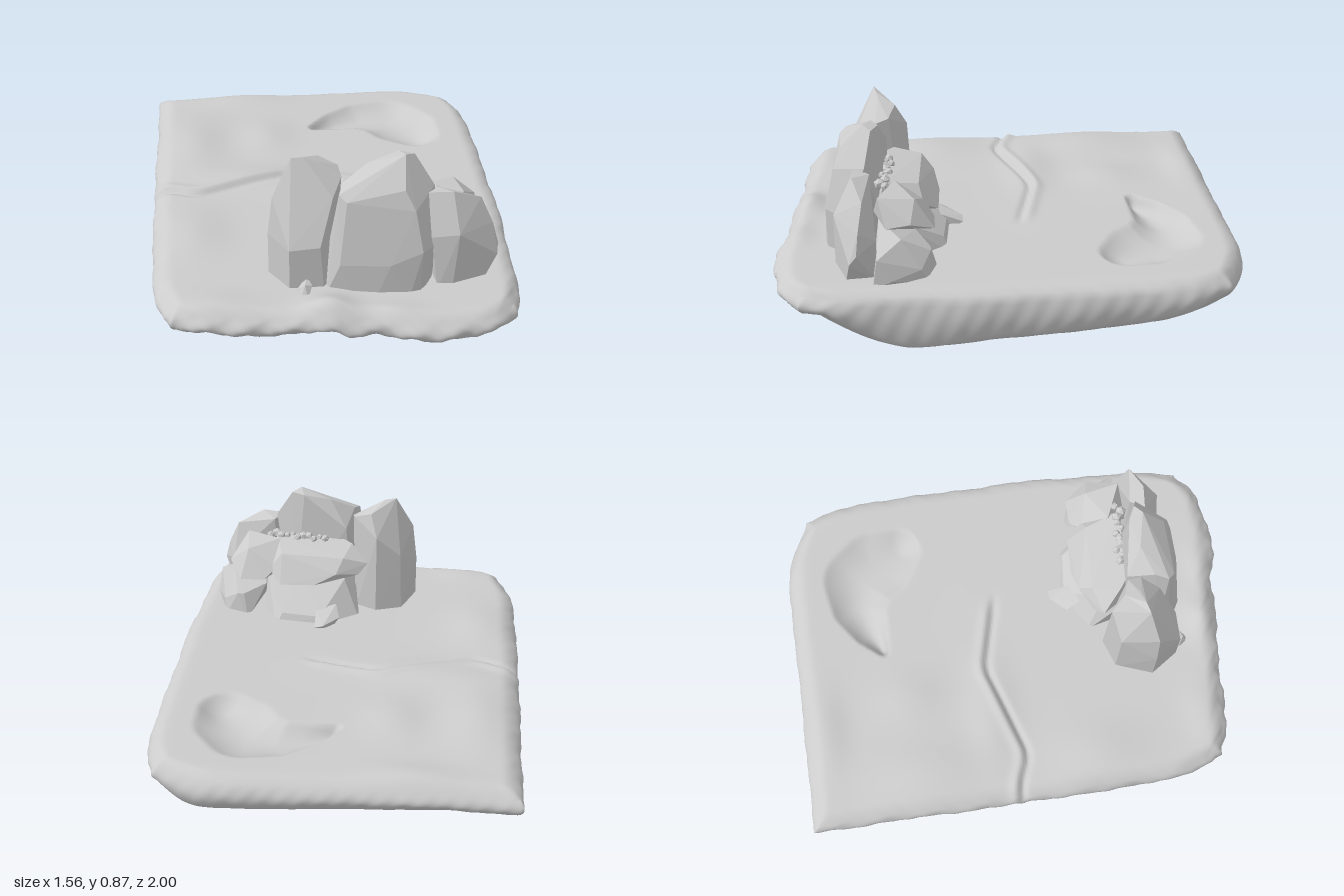
import * as THREE from 'three';
import { mergeVertices } from 'three/addons/utils/BufferGeometryUtils.js';
import { ConvexGeometry } from 'three/addons/geometries/ConvexGeometry.js';

const grey = new THREE.MeshStandardMaterial({ color: 0xcccccc });
const greyFlat = new THREE.MeshStandardMaterial({ color: 0xcccccc, flatShading: true });
const { lerp, smoothstep } = THREE.MathUtils;

// Piecewise linear lookup in a list of [key, value] pairs
function at(table, k) {
  if (k <= table[0][0]) return table[0][1];
  for (let i = 1; i < table.length; i++) {
    const [k0, v0] = table[i - 1], [k1, v1] = table[i];
    if (k <= k1) return v0 + (v1 - v0) * (k - k0) / (k1 - k0);
  }
  return table[table.length - 1][1];
}
// The same lookup averaged over a short span, to soften the bends
const soft = (table, k, w) => (at(table, k - w) + at(table, k - w / 2) + at(table, k) + at(table, k + w / 2) + at(table, k + w)) / 5;
const bell = (s, w) => Math.exp(-(s / w) * (s / w));
// Irregular ripple for the ragged rim
const ripple = (a, b) => 0.005 * Math.sin(a * 11 + b * 1.2) + 0.004 * Math.sin(a * 26.3 - b * 2 + 1) + 0.0025 * Math.sin(a * 59 + b * 3 + 2);

// Slab outline and underside profile
const frontEdge = [[-0.77, 0.85], [-0.68, 0.88], [-0.45, 0.91], [-0.1, 0.93], [0.03, 0.96], [0.13, 0.95], [0.22, 0.975], [0.38, 1], [0.6, 0.98], [0.7, 0.935], [0.77, 0.87]];
const backEdge = [[-0.77, -0.975], [0, -0.985], [0.4, -0.998], [0.55, -0.985], [0.68, -0.935], [0.77, -0.88]];
const leftEdge = [[-1, -0.78], [0, -0.775], [0.6, -0.765], [0.8, -0.75], [1, -0.68]];
const rightEdge = [[-1, 0.69], [-0.85, 0.745], [-0.7, 0.765], [0.2, 0.775], [0.65, 0.755], [0.85, 0.74], [1, 0.7]];
const underside = [[-1, 0.2], [-0.85, 0.135], [-0.6, 0.085], [-0.3, 0.055], [0.1, 0.035], [0.3, 0.012], [0.45, 0], [0.6, 0.05], [0.75, 0.13], [0.85, 0.2], [1, 0.27]];
const crackPath = [[-0.8, -0.06], [-0.7, -0.05], [-0.58, 0], [-0.4, -0.06], [-0.16, -0.14], [0, -0.1], [0.2, -0.05]];
// Mounds: x, z, height, width in x, width in z
const mounds = [
  [-0.35, -0.88, 0.02, 0.2, 0.08], [-0.35, -0.14, 0.022, 0.25, 0.1], [-0.6, -0.45, 0.03, 0.14, 0.25], [-0.25, -0.5, 0.02, 0.12, 0.15],
  [-0.05, 0.87, 0.045, 0.1, 0.08], [-0.6, 0.3, 0.025, 0.14, 0.2], [0.2, 0.9, 0.015, 0.12, 0.06], [-0.5, 0.8, 0.015, 0.15, 0.08]];
// Curved hollow: x, z, radius along its middle line
const hollow = [[0, -0.59, 0.03], [0.1, -0.64, 0.08], [0.22, -0.68, 0.12], [0.35, -0.66, 0.165], [0.41, -0.58, 0.17], [0.47, -0.48, 0.11]];

function hollowDepth(x, z) {
  let best = 2;
  for (let i = 1; i < hollow.length; i++) {
    for (let k = 0; k <= 1; k += 0.125) {
      const [a, b, r] = hollow[i].map((v, j) => hollow[i - 1][j] * (1 - k) + v * k);
      best = Math.min(best, Math.hypot(x - a, z - b) / r);
    }
  }
  return 0.055 * Math.max(0, 1 - best * best);
}

function topHeight(x, z) {
  let y = 0.33;
  for (const [mx, mz, h, wx, wz] of mounds) y += h * bell(x - mx, wx) * bell(z - mz, wz);
  const s = z - soft(crackPath, x, 0.04);
  const fade = 1 - smoothstep(x, 0.08, 0.21);
  y += fade * (0.012 * bell(s + 0.03, 0.025) - 0.017 * bell(s, 0.016));
  return y - hollowDepth(x, z);
}

function bottomHeight(x, z) {
  const tilt = 0.06 + 0.058 * smoothstep(z, -1, -0.2);
  const heel = 0.03 * (1 - smoothstep(x, 0.3, 0.52)) * smoothstep(z, 0.45, 0.65);
  return soft(underside, z, 0.05) + tilt * Math.max(0, 0.55 - x) + heel - 0.008
    + 0.006 * Math.sin(x * 14 + z * 5) * Math.sin(z * 11) * smoothstep(z, 0, 0.8);
}

function makeSlab() {
  let geo = new THREE.BoxGeometry(2, 2, 2, 100, 8, 160);
  geo.deleteAttribute('normal');
  geo.deleteAttribute('uv');
  geo = mergeVertices(geo);
  const p = geo.attributes.position;
  for (let i = 0; i < p.count; i++) {
    const u = p.getX(i), t = p.getY(i), v = p.getZ(i);
    const du = (1 - Math.abs(u)) * 0.77, dv = 1 - Math.abs(v), d = Math.min(du, dv);
    // ragged outline, drawn in at the upper and lower rim
    const shrink = 1 - 0.022 * t * t;
    const us = (u * shrink + 1) / 2, vs = (v * shrink + 1) / 2;
    const x0 = u * 0.77;
    const x = lerp(soft(leftEdge, v, 0.04), soft(rightEdge, v, 0.04), us) + 0.5 * ripple(v + u, t) * u ** 8;
    const z = lerp(soft(backEdge, x0, 0.04), soft(frontEdge, x0, 0.03), vs) + ripple(u - 2 * v, t) * (v > 0 ? 1 : 0.3) * v ** 8;
    // upper and lower surfaces, rounded towards the rim
    const rim = Math.max(0, 1 - d / 0.07) ** 2;
    const top = topHeight(x, z) - 0.03 * rim;
    const sideLift = Math.max(0, 1 - du / 0.2) ** 2 * (u > 0 ? 0.09 : 0.07);
    const low = Math.max(0, Math.min(bottomHeight(x, z) + sideLift, top - 0.09 + 0.02 * rim));
    p.setXYZ(i, x, lerp(low, top, (t + 1) / 2), z);
  }
  geo.computeVertexNormals();
  return new THREE.Mesh(geo, grey);
}

// Faceted stones, each the hull of a few corners; the two largest reach through the slab
const stones = {
  leftTallStone: [
    [-0.28, 0.3, 0.6], [-0.28, 0.52, 0.6], [-0.26, 0.69, 0.6], [-0.18, 0.845, 0.56], [-0.13, 0.84, 0.55], [-0.07, 0.81, 0.54],
    [-0.07, 0.8, 0.47], [0.01, 0.77, 0.5], [0.02, 0.75, 0.56], [-0.02, 0.7, 0.64], [-0.2, 0.51, 0.72], [-0.2, 0.3, 0.72],
    [-0.075, 0.52, 0.72], [-0.06, 0.3, 0.72], [-0.22, 0.3, 0.44], [-0.21, 0.6, 0.45], [-0.1, 0.3, 0.4], [-0.1, 0.7, 0.42], [0, 0.3, 0.45],
    [-0.22, 0.17, 0.68], [-0.03, 0.18, 0.68], [-0.1, 0.065, 0.58]],
  mainStone: [
    [-0.06, 0.37, 0.66], [-0.05, 0.3, 0.72], [0, 0.74, 0.68], [0.02, 0.76, 0.62], [0.13, 0.82, 0.57], [0.27, 0.865, 0.6],
    [0.25, 0.85, 0.54], [0.31, 0.85, 0.57], [0.39, 0.72, 0.6], [0.26, 0.76, 0.7], [0.3, 0.68, 0.73], [0.03, 0.72, 0.71],
    [0.2, 0.46, 0.78], [0.33, 0.51, 0.77], [0.28, 0.3, 0.78], [0, 0.45, 0.75], [0.39, 0.5, 0.7], [0.38, 0.3, 0.68],
    [0.02, 0.3, 0.5], [0.3, 0.3, 0.5], [0.05, 0.7, 0.51],
    [0.11, 0.2, 0.77], [0.32, 0.2, 0.77], [0.31, 0.135, 0.73], [0.16, 0.165, 0.74]],
  rightStone: [
    [0.36, 0.71, 0.64], [0.46, 0.715, 0.65], [0.4, 0.7, 0.58], [0.58, 0.66, 0.61], [0.63, 0.55, 0.63], [0.655, 0.46, 0.64],
    [0.65, 0.42, 0.67], [0.59, 0.3, 0.69], [0.48, 0.56, 0.73], [0.4, 0.3, 0.73], [0.37, 0.54, 0.71], [0.46, 0.3, 0.735],
    [0.6, 0.5, 0.56], [0.58, 0.3, 0.56], [0.38, 0.3, 0.57]],
  rearRightStone: [
    [0.67, 0.35, 0.5], [0.66, 0.44, 0.56], [0.65, 0.3, 0.58], [0.58, 0.49, 0.46], [0.55, 0.42, 0.34], [0.62, 0.37, 0.38],
    [0.52, 0.42, 0.34], [0.5, 0.3, 0.31], [0.61, 0.3, 0.35], [0.45, 0.3, 0.58], [0.45, 0.52, 0.55], [0.42, 0.45, 0.4]],
  ledgeStone: [
    [-0.06, 0.58, 0.4], [0.02, 0.64, 0.48], [-0.02, 0.54, 0.36], [0.08, 0.56, 0.31], [0.18, 0.51, 0.29], [0.34, 0.5, 0.3],
    [0.4, 0.55, 0.36], [0.34, 0.62, 0.38], [0.05, 0.62, 0.36], [0.1, 0.49, 0.4], [0.3, 0.48, 0.42], [0.38, 0.65, 0.52],
    [0.05, 0.52, 0.55], [0.35, 0.54, 0.55], [0.1, 0.65, 0.54]],
  sideLedgeStone: [
    [0.36, 0.56, 0.36], [0.42, 0.51, 0.32], [0.53, 0.51, 0.32], [0.59, 0.56, 0.42], [0.58, 0.54, 0.52], [0.5, 0.63, 0.4],
    [0.52, 0.65, 0.55], [0.36, 0.65, 0.48], [0.38, 0.5, 0.42], [0.4, 0.53, 0.57]],
  underLedgeStone: [
    [-0.03, 0.3, 0.34], [0.05, 0.48, 0.42], [0.15, 0.36, 0.26], [0.15, 0.3, 0.24], [0.33, 0.36, 0.28], [0.36, 0.3, 0.26],
    [0.26, 0.5, 0.46], [0.42, 0.48, 0.46], [0.43, 0.3, 0.36], [0.02, 0.52, 0.55], [0.4, 0.52, 0.55], [0.02, 0.3, 0.55], [0.4, 0.3, 0.55]],
  groundWedge: [
    [0.17, 0.34, 0.19], [0.13, 0.35, 0.19], [0.06, 0.36, 0.26], [0.08, 0.4, 0.32], [0.17, 0.38, 0.29], [0.1, 0.3, 0.25], [0.17, 0.3, 0.25]],
  frontPebble: [
    [-0.17, 0.34, 0.74], [-0.14, 0.37, 0.76], [-0.11, 0.36, 0.75], [-0.13, 0.32, 0.785], [-0.16, 0.31, 0.78], [-0.13, 0.37, 0.7], [-0.17, 0.3, 0.7]],
};

export function createModel() {
  const model = new THREE.Group();
  const add = (name, mesh, parent = model) => { mesh.name = name; parent.add(mesh); return mesh; };

  add('groundSlab', makeSlab());

  const outcrop = add('rockOutcrop', new THREE.Group());
  for (const [name, corners] of Object.entries(stones)) {
    const hull = new ConvexGeometry(corners.map(c => new THREE.Vector3(...c)));
    add(name, new THREE.Mesh(hull, greyFlat), outcrop);
  }

  // Row of small pebbles on the ledge
  const pebbles = add('ledgePebbles', new THREE.Group(), outcrop);
  for (let i = 0; i < 11; i++) {
    const pebble = add('pebble', new THREE.Mesh(new THREE.IcosahedronGeometry(0.02 + 0.005 * Math.sin(i * 5), 0), greyFlat), pebbles);
    pebble.position.set(0.15 + i * 0.026, 0.648, 0.5 + 0.003 * i + 0.014 * Math.sin(i * 2.3));
    pebble.rotation.set(i * 1.3, i * 2.1, i * 0.7);
  }
  return model;
}
